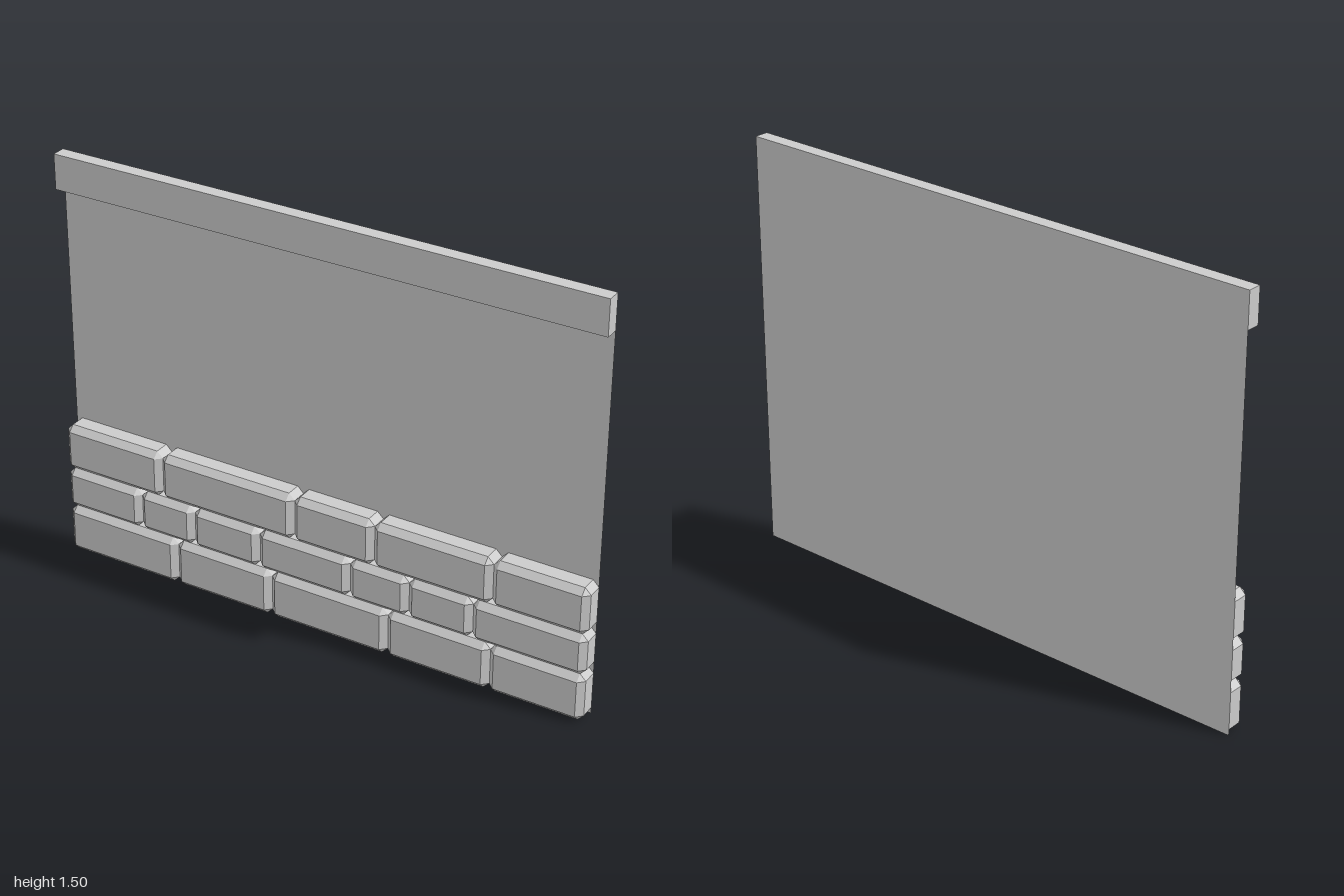
import * as THREE from 'three';
import { ConvexGeometry } from 'three/addons/geometries/ConvexGeometry.js';

const BACK = -0.038, FRONT = 0.038, CHAMFER = 0.022;

// Block with every edge chamfered except those against the wall
function brickGeometry(x0, x1, y0, y1) {
  const c = CHAMFER, points = [];
  for (const [x, dx] of [[x0, c], [x1, -c]]) {
    for (const [y, dy] of [[y0, c], [y1, -c]]) {
      points.push(new THREE.Vector3(x + dx, y + dy, FRONT));
      for (const z of [FRONT - c, BACK]) {
        points.push(new THREE.Vector3(x + dx, y, z), new THREE.Vector3(x, y + dy, z));
      }
    }
  }
  return new ConvexGeometry(points);
}

export function createModel() {
  const model = new THREE.Group();
  model.name = 'wall';
  const material = new THREE.MeshStandardMaterial({ color: 0xcccccc, flatShading: true });
  const thin = material.clone();
  thin.side = THREE.DoubleSide;

  // Flat wall sheet
  const panel = new THREE.Mesh(new THREE.PlaneGeometry(2, 1.5), thin);
  panel.name = 'wallPanel';
  panel.position.set(0, 0.75, BACK);
  model.add(panel);

  // Trim board along the top
  const trim = new THREE.Mesh(new THREE.BoxGeometry(2, 0.126, 0.05), material);
  trim.name = 'topTrim';
  trim.position.set(0, 1.437, BACK + 0.025);
  model.add(trim);

  // Three courses of stone, each split at its joints
  const courses = [
    { y0: 0, y1: 0.177, joints: [-1, -0.55, -0.17, 0.28, 0.66, 1] },
    { y0: 0.177, y1: 0.328, joints: [-1, -0.695, -0.478, -0.217, 0.135, 0.357, 0.593, 1] },
    { y0: 0.328, y1: 0.5, joints: [-1, -0.605, -0.08, 0.225, 0.66, 1] },
  ];
  courses.forEach(({ y0, y1, joints }, row) => {
    const course = new THREE.Group();
    course.name = `brickCourse${row + 1}`;
    for (let i = 0; i < joints.length - 1; i++) {
      const brick = new THREE.Mesh(brickGeometry(joints[i], joints[i + 1], y0, y1), material);
      brick.name = `brick${i + 1}`;
      course.add(brick);
    }
    model.add(course);
  });

  return model;
}
